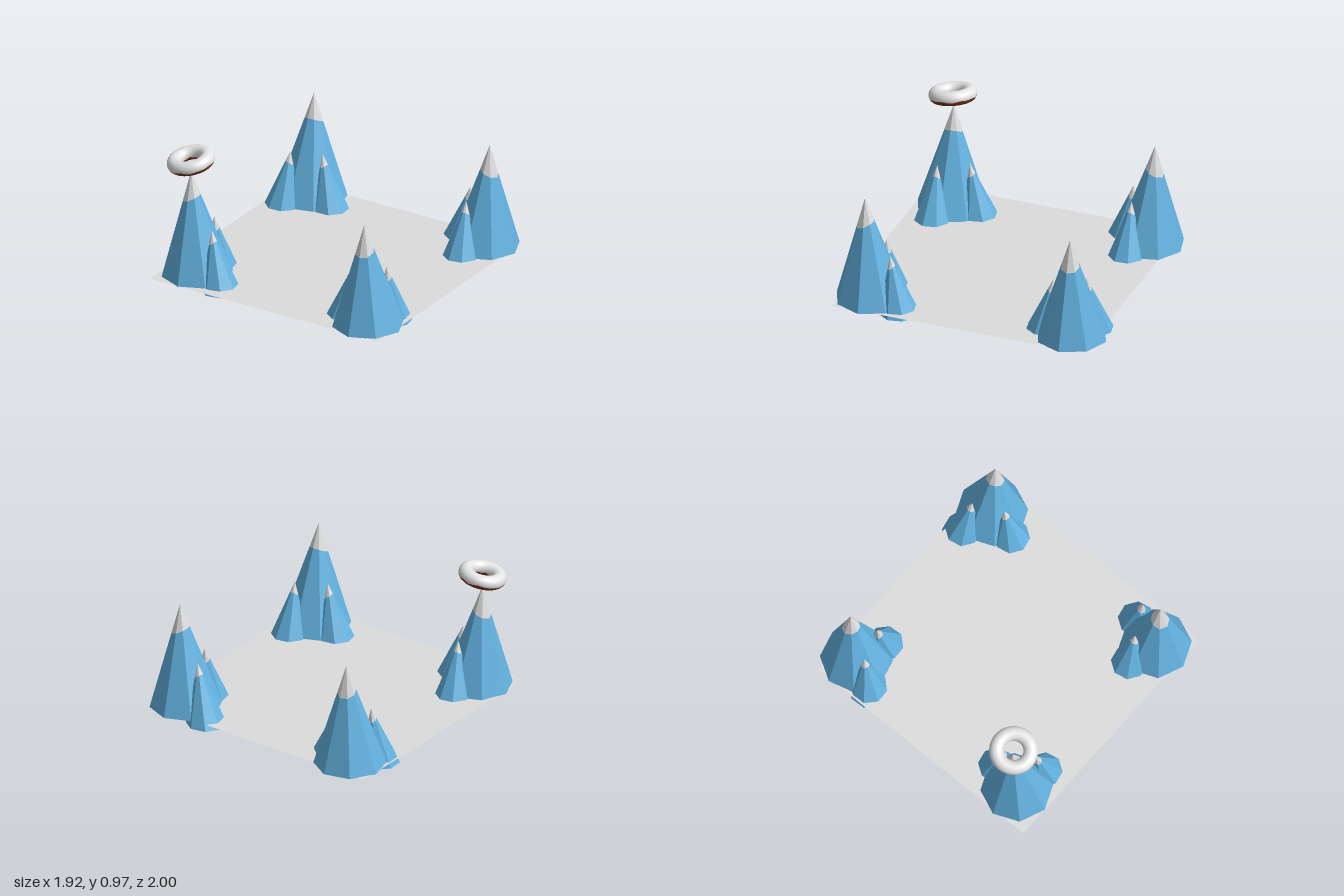
import * as THREE from 'three';
import { ParametricGeometry } from 'three/addons/geometries/ParametricGeometry.js';

const mat = (name, color, extra = {}) => new THREE.MeshStandardMaterial({ name, color, ...extra });

// Flat-shaded triangles from a list of Vector3 corners
function facets(points) {
  const g = new THREE.BufferGeometry().setFromPoints(points);
  g.computeVertexNormals();
  return g;
}

// Leaning eight-sided peak: rock body with a base, and a snow tip whose rim dips on the leaning side
function makePeak(name, { base, apex, y0, y1, radius, snowY, dip, turn = 0 }, rock, snow) {
  const N = 8;
  const top = new THREE.Vector3(apex[0], y1, apex[1]);
  const foot = new THREE.Vector3(base[0], y0, base[1]);
  const lean = Math.atan2(apex[1] - base[1], apex[0] - base[0]);
  const low = [], rim = [];
  for (let i = 0; i < N; i++) {
    const a = turn + (i / N) * Math.PI * 2;
    const p = new THREE.Vector3(foot.x + radius * Math.cos(a), y0, foot.z + radius * Math.sin(a));
    const y = snowY - dip * Math.cos(a - lean);
    low.push(p);
    rim.push(p.clone().lerp(top, (y - y0) / (y1 - y0)));
  }
  const body = [], tip = [];
  for (let i = 0; i < N; i++) {
    const j = (i + 1) % N;
    body.push(low[i], rim[i], low[j], rim[i], rim[j], low[j]);
    body.push(foot, low[i], low[j]);
    tip.push(rim[i], top, rim[j]);
  }
  const group = new THREE.Group();
  group.name = name;
  const rockMesh = new THREE.Mesh(facets(body), rock);
  rockMesh.name = 'rock';
  const snowMesh = new THREE.Mesh(facets(tip), snow);
  snowMesh.name = 'snowTip';
  group.add(rockMesh, snowMesh);
  return group;
}

// Band of a ring between two tube angles that may vary around the ring
function ringBand(name, from, to, slices, material) {
  const R = 0.118, r = 0.051;
  const geo = new ParametricGeometry((u, v, target) => {
    const a = v * Math.PI * 2;
    const t = THREE.MathUtils.lerp(from(a), to(a), u);
    const d = R + r * Math.cos(t);
    target.set(d * Math.cos(a), r * Math.sin(t), d * Math.sin(a));
  }, slices, 40);
  const mesh = new THREE.Mesh(geo, material);
  mesh.name = name;
  return mesh;
}

export function createModel() {
  const blue = mat('mountainBlue', 0x63b3e1, { flatShading: true });
  const white = mat('snowWhite', 0xdedede, { flatShading: true });
  const ground = mat('groundGrey', 0xdcdcdc, { side: THREE.DoubleSide });
  const icing = mat('icingWhite', 0xe4e4e4);
  const dough = mat('doughBrown', 0x76371f);

  const model = new THREE.Group();
  model.name = 'mountainField';

  // Thin ground sheet
  const sheet = new THREE.Mesh(new THREE.PlaneGeometry(1.855, 1.85), ground);
  sheet.name = 'ground';
  sheet.rotation.x = -Math.PI / 2;
  sheet.position.set(-0.01, 0.042, 0.025);
  model.add(sheet);

  // Four corner clusters: a tall peak with two foothills, each as [base x,z] and [apex x,z]
  const clusters = [
    { name: 'frontRightMountain', tall: [[-0.71, 0.7], [-0.757, 0.705]],
      hills: [[[-0.675, 0.48], [-0.667, 0.55]], [[-0.482, 0.76], [-0.56, 0.75]]] },
    { name: 'backRightMountain', turn: 0.15, tall: [[-0.705, -0.75], [-0.71, -0.797]],
      hills: [[[-0.807, -0.545], [-0.782, -0.61]], [[-0.485, -0.67], [-0.566, -0.68]]] },
    { name: 'backLeftMountain', tall: [[0.71, -0.735], [0.755, -0.74]],
      hills: [[[0.482, -0.805], [0.567, -0.79]], [[0.665, -0.51], [0.665, -0.58]]] },
    { name: 'frontLeftMountain', tall: [[0.705, 0.745], [0.705, 0.79]],
      hills: [[[0.482, 0.695], [0.555, 0.69]], [[0.76, 0.52], [0.757, 0.585]]] },
  ];
  for (const c of clusters) {
    const group = new THREE.Group();
    group.name = c.name;
    const turn = c.turn || 0;
    group.add(makePeak('tallPeak', { base: c.tall[0], apex: c.tall[1], y0: 0.04, y1: 0.81,
      radius: 0.252, snowY: 0.61, dip: 0.03, turn }, blue, white));
    c.hills.forEach(([base, apex], i) => group.add(makePeak('foothill' + (i + 1), { base, apex,
      y0: 0, y1: 0.425, radius: 0.142, snowY: 0.335, dip: 0.018, turn: turn + 0.2 }, blue, white)));
    model.add(group);
  }

  // Iced ring tilted above one summit, with a wavy icing edge
  const wave = a => 0.08 * Math.sin(5 * a) + 0.07 * Math.sin(9 * a + 1);
  const outer = a => -0.3 + wave(a);
  const inner = a => Math.PI + 0.35 + wave(a + 2);
  const ring = new THREE.Group();
  ring.name = 'icedRing';
  ring.add(ringBand('icing', outer, inner, 14, icing));
  ring.add(ringBand('dough', inner, a => outer(a) + Math.PI * 2, 10, dough));
  ring.position.set(-0.755, 0.895, 0.71);
  ring.rotation.set(0.15, 0, 0.16);
  model.add(ring);

  return model;
}
